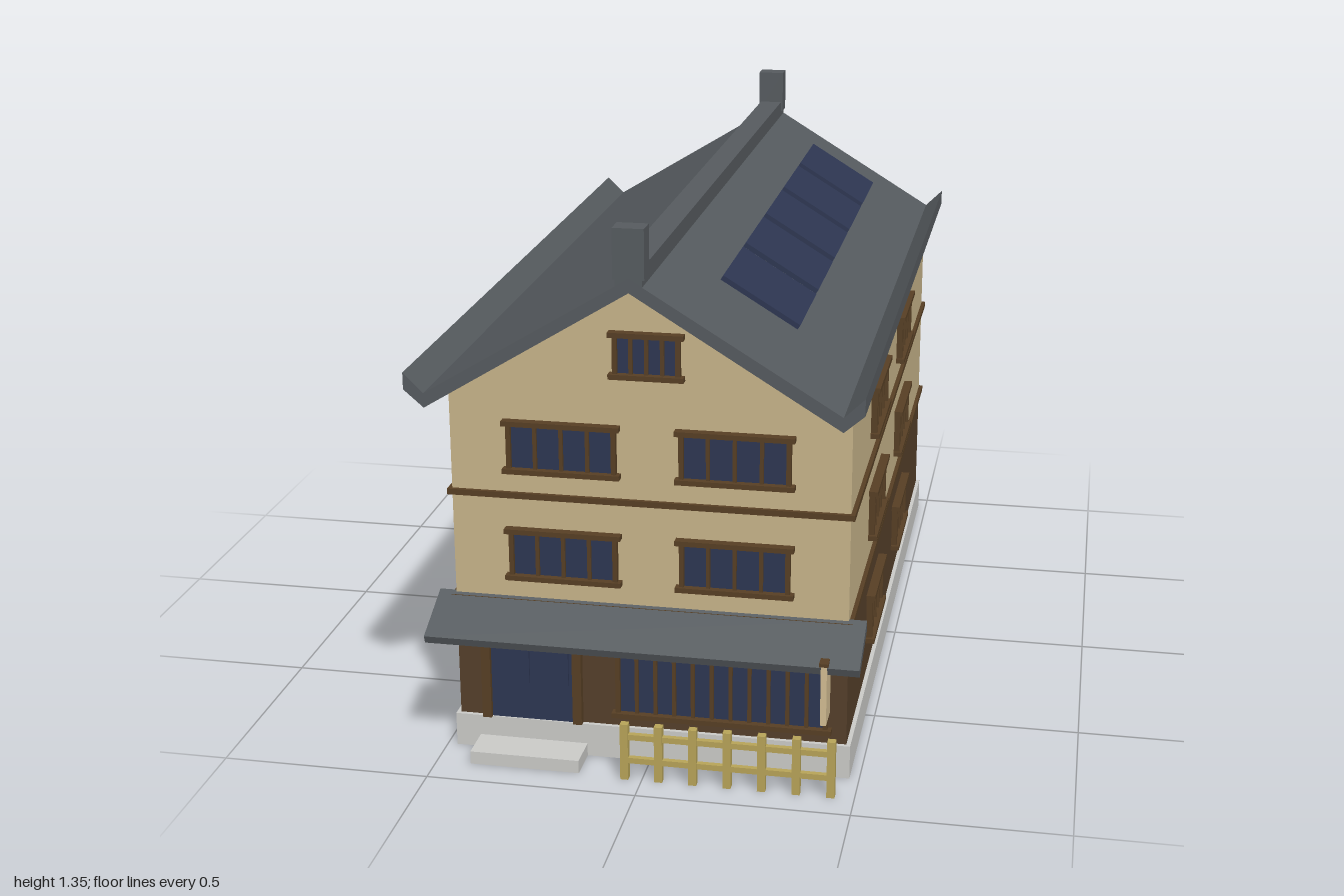
import * as THREE from 'three';

const paint = (name, color) => {
  const m = new THREE.MeshStandardMaterial({ color });
  m.name = name;
  return m;
};

export function createModel() {
  const cream = paint('cream plaster', 0xc8b48a);
  const brown = paint('brown boarding', 0x553f2a);
  const trim = paint('timber trim', 0x573f24);
  const slate = paint('slate roof', 0x565b5f);
  const navy = paint('navy glass', 0x2d3652);
  const stone = paint('pale stone', 0xcbcbc8);
  const bamboo = paint('bamboo', 0xb8a458);
  const cloth = paint('banner cloth', 0xd2bd92);

  const model = new THREE.Group();
  model.name = 'townhouse';

  // Box from its lower and upper limits on each axis
  const box = (name, mat, x0, x1, y0, y1, z0, z1, parent = model) => {
    const mesh = new THREE.Mesh(new THREE.BoxGeometry(x1 - x0, y1 - y0, z1 - z0), mat);
    mesh.position.set((x0 + x1) / 2, (y0 + y1) / 2, (z0 + z1) / 2);
    mesh.name = name;
    parent.add(mesh);
    return mesh;
  };
  // Cross-section in x, y swept from z0 to z1
  const prism = (name, mat, points, z0, z1) => {
    const shape = new THREE.Shape(points.map(([x, y]) => new THREE.Vector2(x, y)));
    const geo = new THREE.ExtrudeGeometry(shape, { depth: z1 - z0, bevelEnabled: false });
    const mesh = new THREE.Mesh(geo, mat);
    mesh.position.z = z0;
    mesh.name = name;
    model.add(mesh);
    return mesh;
  };

  const W = 0.467, ZF = 0.82, ZB = -0.945;

  // Foundation, walls and step
  box('foundation', stone, -0.477, 0.477, 0, 0.083, -0.955, 0.83);
  box('doorStep', stone, -0.417, -0.153, 0, 0.032, 0.83, 0.92);
  box('groundFloorWalls', brown, -W, W, 0.083, 0.387, ZB, ZF);
  prism('upperWalls', cream, [[-W, 0.387], [W, 0.387], [W, 0.922], [0, 1.208], [-W, 0.922]], ZB, ZF);
  for (const y of [0.387, 0.654]) {
    box('floorBand', trim, -0.477, 0.477, y - 0.007, y + 0.007, ZB - 0.01, ZF + 0.01);
  }

  // Main roof with upturned eaves
  const half = [[0.467, 0.951], [0.513, 0.996], [0.513, 0.957], [0.467, 0.917]];
  const mirrored = half.map(([x, y]) => [-x, y]).reverse();
  prism('mainRoof', slate, [[0, 1.235], ...half, [0, 1.203], ...mirrored], -1, 1);
  box('ridgeBeam', slate, -0.03, 0.03, 1.21, 1.258, -1, 1);
  for (const z of [-1, 0.948]) {
    box('ridgeFinial', slate, -0.035, 0.035, 1.232, 1.345, z, z + 0.052);
  }

  // Solar panels on the +x slope
  for (let i = -2; i <= 2; i++) {
    const panel = new THREE.Mesh(new THREE.BoxGeometry(0.208, 0.012, 0.266), navy);
    panel.position.set(0.236, 1.109, -0.05 + i * 0.305);
    panel.rotation.z = -Math.atan(0.61);
    panel.name = 'solarPanel';
    model.add(panel);
  }

  // Window facing +z, centred on its own origin
  const addWindow = (x, y, z, turn, w = 0.258, h = 0.128, panes = 4) => {
    const g = new THREE.Group();
    g.name = 'window';
    const a = w / 2, b = h / 2, t = 0.011;
    box('glass', navy, -a + t, a - t, -b + t, b - t, -0.004, 0.005, g);
    for (let i = 0; i <= panes; i++) {
      const edge = i === 0 || i === panes;
      const c = -a + t / 2 + (i * (w - t)) / panes;
      const r = edge ? t / 2 : 0.0045;
      box(edge ? 'jamb' : 'mullion', trim, c - r, c + r, -b + 0.002, b - 0.002, -0.004, edge ? 0.015 : 0.012, g);
    }
    for (const s of [-1, 1]) {
      const c = s * (b - 0.006);
      box(s > 0 ? 'header' : 'sill', trim, -a - 0.009, a + 0.009, c - 0.006, c + 0.006, -0.004, 0.022, g);
    }
    g.position.set(x, y, z);
    g.rotation.y = turn;
    model.add(g);
  };
  for (const y of [0.235, 0.51, 0.775]) {
    for (const s of [-1, 1]) {
      if (y > 0.3) addWindow(s * 0.202, y, ZF, 0);
      addWindow(s * 0.202, y, ZB, Math.PI);
      for (const z of [0.31, -0.3]) addWindow(s * W, y, z, (s * Math.PI) / 2);
    }
  }
  addWindow(0, 1.009, ZF, 0, 0.156, 0.11);
  addWindow(0.171, 0.21, ZF, 0, 0.505, 0.197, 11);

  // Entrance: frame, door and split curtain
  box('doorFrameLeft', trim, -0.186, -0.164, 0.083, 0.305, ZF, 0.838);
  box('doorFrameRight', trim, -0.408, -0.386, 0.083, 0.305, ZF, 0.838);
  box('doorLintel', trim, -0.408, -0.164, 0.287, 0.305, ZF, 0.838);
  box('door', navy, -0.386, -0.186, 0.083, 0.288, ZF - 0.002, 0.826);
  box('curtainRod', trim, -0.395, -0.177, 0.285, 0.293, 0.838, 0.846);
  for (const x of [-0.375, -0.28]) {
    box('doorCurtain', navy, x, x + 0.087, 0.185, 0.288, 0.839, 0.845);
  }

  // Sloping canopy across the front, section in z, y
  const canopy = prism('frontCanopy', slate, [[-0.945, 0.319], [-0.815, 0.373], [-0.815, 0.4], [-0.952, 0.338]], -0.508, 0.508);
  canopy.rotation.y = Math.PI / 2;
  canopy.position.set(-0.508, 0, 0);

  // Hanging banner
  box('bannerRod', trim, 0.417, 0.438, 0.342, 0.35, 0.875, 0.957);
  box('banner', cloth, 0.421, 0.435, 0.196, 0.342, 0.886, 0.955);

  // Bamboo fence
  for (let i = 0; i < 7; i++) {
    const x = -0.041 + i * 0.081;
    box('fencePost', bamboo, x - 0.0095, x + 0.0095, 0, 0.142, 0.911, 0.93);
  }
  for (const y of [0.049, 0.109]) {
    box('fenceRail', bamboo, -0.05, 0.454, y - 0.007, y + 0.007, 0.914, 0.927);
  }

  return model;
}
